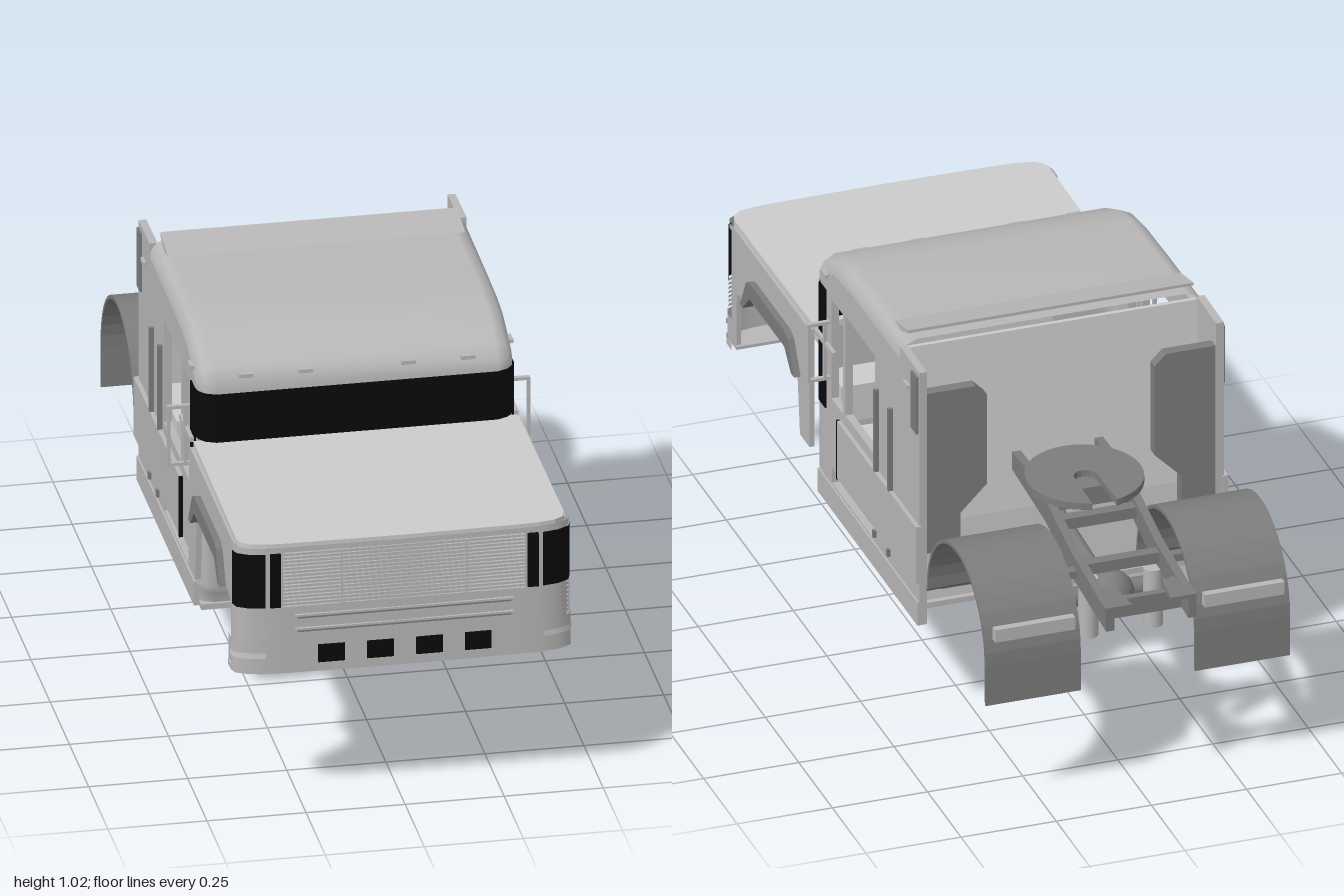
import * as THREE from 'three';

export function createModel() {
  const root = new THREE.Group();
  const material = (name, color) => {
    const m = new THREE.MeshStandardMaterial({ color, side: THREE.DoubleSide });
    m.name = name;
    return m;
  };
  const body = material('body grey', 0xb8b6b6);
  const light = material('light grey', 0xcbcbcb);
  const dark = material('chassis grey', 0x7c7c7c);
  const black = material('black', 0x0a0a0a);

  const add = (name, geometry, mat) => {
    const mesh = new THREE.Mesh(geometry, mat);
    mesh.name = name;
    root.add(mesh);
    return mesh;
  };
  const box = (name, w, h, d, x, y, z, mat) =>
    add(name, new THREE.BoxGeometry(w, h, d).translate(x, y, z), mat);
  const both = fn => [1, -1].forEach(fn);
  const toShape = (pts, holes = []) => {
    const shape = new THREE.Shape(pts.map(p => new THREE.Vector2(...p)));
    shape.holes = holes.map(h => new THREE.Path(h.map(p => new THREE.Vector2(...p))));
    return shape;
  };
  // Profile given as [z, y], extruded along x and centred on x
  const panel = (name, pts, x, width, mat, holes = []) => {
    const flip = list => list.map(([z, y]) => [-z, y]);
    const g = new THREE.ExtrudeGeometry(toShape(flip(pts), holes.map(flip)), { depth: width, bevelEnabled: false });
    return add(name, g.translate(0, 0, -width / 2).rotateY(Math.PI / 2).translate(x, 0, 0), mat);
  };
  // Plan given as [x, z], extruded upward from y
  const slab = (name, pts, y, height, mat, holes = []) => {
    const flip = list => list.map(([x, z]) => [x, -z]);
    const g = new THREE.ExtrudeGeometry(toShape(flip(pts), holes.map(flip)), { depth: height, bevelEnabled: false });
    return add(name, g.rotateX(-Math.PI / 2).translate(0, y, 0), mat);
  };
  const rect = (z0, z1, y0, y1) => [[z0, y0], [z1, y0], [z1, y1], [z0, y1]];
  // Grid of points, rows by columns, as a smooth surface
  const surface = rows => {
    const g = new THREE.BufferGeometry(), m = rows[0].length, index = [];
    g.setAttribute('position', new THREE.Float32BufferAttribute(rows.flat(2), 3));
    for (let i = 0; i < rows.length - 1; i++) {
      for (let j = 0; j < m - 1; j++) {
        const a = i * m + j;
        index.push(a, a + 1, a + m, a + 1, a + m + 1, a + m);
      }
    }
    g.setIndex(index);
    g.computeVertexNormals();
    return g;
  };

  // Cab front and roof: one swept shell with rounded side edges
  const path = [[0.35, 0.275], [0.355, 0.31], [0.38, 0.34], [0.38, 0.735], [0.38, 0.867], [0.378, 0.9],
    [0.35, 0.93], [0.24, 0.98], [0.16, 0.992], [0, 0.997], [-0.26, 1.0]];
  const half = [[0.4, 0.05], [0.396, 0.03], [0.382, 0.012], [0.355, 0]];
  const section = [...half.map(([x, d]) => [-x, d]), ...half.slice().reverse()];
  const cabRows = path.map(([z, y], i) => {
    const p = path[Math.max(i - 1, 0)], q = path[Math.min(i + 1, path.length - 1)];
    const dz = q[0] - p[0], dy = q[1] - p[1], l = Math.hypot(dz, dy);
    const straight = i >= 2 && i <= 4;
    const nz = straight ? 1 : dy / l, ny = straight ? 0 : -dz / l;
    return section.map(([x, d]) => [x, y - ny * d, z - nz * d]);
  });
  add('cabFrontLower', surface(cabRows.slice(0, 4)), body);
  add('windscreen', surface(cabRows.slice(3, 5)), black);
  add('cabRoof', surface(cabRows.slice(4)), body);
  box('cabFloor', 0.78, 0.015, 0.68, 0, 0.278, 0.02, body);
  panel('rearWall', [[-0.25, 0.98], [-0.262, 0.98], [-0.305, 0.5], [-0.305, 0.27], [-0.29, 0.27], [-0.29, 0.5]], 0, 0.76, light);
  panel('roofLip', [[-0.15, 1.0], [-0.25, 1.022], [-0.25, 1.014], [-0.2, 0.995]], 0, 0.75, body);
  box('dashboard', 0.74, 0.1, 0.1, 0, 0.55, 0.31, light);
  box('bench', 0.74, 0.2, 0.22, 0, 0.49, -0.17, light);
  box('interiorFloor', 0.76, 0.01, 0.6, 0, 0.445, 0.02, light);
  both(s => {
    panel('cabSide', [[0.33, 0.275], [0.33, 0.885], [0.31, 0.902], [0.225, 0.938], [0.1, 0.949], [-0.26, 0.953],
      [-0.26, 0.988], [-0.405, 0.985], [-0.405, 0.275]], s * 0.39, 0.02, body,
    [rect(0.25, 0.165, 0.58, 0.86), rect(0.145, -0.075, 0.585, 0.865), rect(0.245, -0.07, 0.345, 0.388)]);
    panel('sideGlass', rect(0.335, 0.285, 0.535, 0.867), s * 0.401, 0.006, black);
    panel('waistPanel', rect(0.178, -0.41, 0.395, 0.555), s * 0.403, 0.016, body);
    panel('doorGap', rect(0.184, 0.177, 0.39, 0.555), s * 0.407, 0.009, black);
    panel('sill', rect(0.34, -0.405, 0.275, 0.34), s * 0.398, 0.014, body);
    for (const z of [-0.1, -0.205]) {
      box('grabRail', 0.014, 0.23, 0.01, s * 0.405, 0.67, z, dark);
      box('lowerRail', 0.008, 0.02, 0.01, s * 0.411, 0.38, z, dark);
    }
    box('sideVent', 0.008, 0.16, 0.04, s * 0.402, 0.89, -0.378, dark);
    box('sideMarker', 0.012, 0.01, 0.035, s * 0.402, 0.911, 0.29, body);
    box('rearMarker', 0.012, 0.01, 0.035, s * 0.402, 0.911, -0.32, body);
    box('lowerSeam', 0.005, 0.1, 0.006, s * 0.3, 0.33, 0.378, black);
    for (const x of [0.13, 0.28]) box('roofMarker', 0.036, 0.01, 0.02, s * x, 0.911, 0.37, body);
    // Extender panels behind the cab
    const ext = new THREE.ExtrudeGeometry(toShape([[0.385, 0.92], [0.25, 0.92], [0.22, 0.89], [0.22, 0.64],
      [0.29, 0.57], [0.29, 0.47], [0.385, 0.47]].map(([x, y]) => [s * x, y])), { depth: 0.03, bevelEnabled: false });
    add('rearExtender', ext.translate(0, 0, -0.4), dark);
    box('rearBox', 0.09, 0.09, 0.07, s * 0.29, 0.4, -0.35, dark);
    // Mirror frames
    for (const y of [0.632, 0.788]) box('mirrorArm', 0.065, 0.008, 0.012, s * 0.425, y, 0.265, body);
    for (const x of [0.412, 0.454]) box('mirrorPost', 0.008, 0.16, 0.012, s * x, 0.71, 0.265, body);
    box('mirrorBracket', 0.01, 0.012, 0.14, s * 0.41, 0.73, 0.27, body);
  });

  // Bonnet nose: plan curve wrapped round the front corners
  const side = [[0.42, 0.9], [0.42, 0.935], [0.413, 0.958], [0.39, 0.975], [0.35, 0.983], [0.3, 0.986]];
  const nose = [...side.map(([x, z]) => [-x, z]), [0, 0.99], ...side.slice().reverse()];
  const ribbon = (name, plan, y0, y1, offset, mat) => add(name, surface([y0, y1].map(y =>
    plan.map(([x, z]) => [x + Math.sign(x) * offset * (Math.abs(x) > 0.4 ? 1 : 0), y, z + offset]))), mat);
  ribbon('noseShell', nose, 0.39, 0.72, 0, body);
  ribbon('bumper', nose, 0.4, 0.47, 0.008, body);
  ribbon('bumperLip', nose, 0.385, 0.402, 0.01, body);
  slab('noseUnderside', nose, 0.388, 0.008, body);
  slab('bonnetTop', [[-0.41, 0.36], ...nose.map(([x, z]) => [x * 0.985, z]), [0.41, 0.36]], 0.718, 0.017, light);
  ribbon('bonnetRim', nose, 0.712, 0.726, 0.004, body);
  for (let i = 0; i < 16; i++) box('grilleSlat', 0.61, 0.005, 0.012, 0, 0.562 + i * 0.0097, 0.987, body);
  for (const y of [0.498, 0.535]) {
    box('noseSlot', 0.55, 0.01, 0.008, 0, y, 0.99, body);
    box('noseSlotShade', 0.54, 0.004, 0.009, 0, y - 0.002, 0.991, dark);
  }
  both(s => {
    const wrap = side.slice(1, 5).map(([x, z]) => [s * x, z]);
    if (s < 0) wrap.reverse();
    wrap.sort((a, b) => a[0] - b[0]);
    ribbon('headlight', wrap, 0.563, 0.71, 0.006, black);
    box('innerLamp', 0.027, 0.145, 0.008, s * 0.325, 0.637, 0.99, black);
    box('grilleDivider', 0.004, 0.15, 0.014, s * 0.158, 0.635, 0.988, body);
    for (let i = 0; i < 7; i++) ribbon('cornerRib', wrap, 0.478 + i * 0.012, 0.484 + i * 0.012, 0.006, body);
    ribbon('indicator', wrap, 0.427, 0.442, 0.011, light);
    for (const x of [0.062, 0.185]) box('fogLamp', 0.067, 0.047, 0.008, s * x, 0.433, 0.997, black);

    // Bonnet side with wheel arch
    const arch = [[0.43, 0.39], [0.45, 0.56], [0.5, 0.605], [0.76, 0.605], [0.82, 0.56], [0.9, 0.545], [0.91, 0.39]];
    panel('bonnetSide', [[0.93, 0.39], [0.93, 0.72], [0.36, 0.72], [0.36, 0.39], ...arch, [0.93, 0.39]].slice(0, -1),
      s * 0.412, 0.014, body);
    panel('archFlare', [[0.83, 0.555], [0.785, 0.64], [0.76, 0.65], [0.5, 0.65], [0.475, 0.64], [0.425, 0.555],
      [0.45, 0.555], [0.5, 0.605], [0.76, 0.605], [0.81, 0.555]], s * 0.422, 0.028, dark);
  });
  box('bonnetCore', 0.44, 0.32, 0.56, 0, 0.55, 0.64, light);

  // Centre wheel and its plate under the cab
  const tyre = [[0.06, -0.05], [0.1, -0.09], [0.115, -0.11], [0.14, -0.118], [0.16, -0.108], [0.17, -0.085],
    [0.17, 0.085], [0.16, 0.108], [0.14, 0.118], [0.115, 0.11], [0.1, 0.09], [0.06, 0.05]];
  add('centreWheel', new THREE.LatheGeometry(tyre.map(p => new THREE.Vector2(...p)), 40)
    .rotateZ(Math.PI / 2).translate(0, 0.265, 0), light);
  add('wheelHub', new THREE.CylinderGeometry(0.07, 0.07, 0.1, 24).rotateZ(Math.PI / 2).translate(0, 0.265, 0), light);
  panel('centrePlate', rect(0, -0.32, 0, 0.275), 0, 0.03, light);
  panel('plateRib', [[-0.1, 0.2], [-0.1, 0.09], [-0.16, 0.03], [-0.32, 0.03], [-0.32, 0.045], [-0.165, 0.045],
    [-0.115, 0.095], [-0.115, 0.2]], 0, 0.056, light);
  for (const y of [0.18, 0.21]) box('plateBar', 0.05, 0.01, 0.2, 0, y, -0.22, light);

  // Rear chassis
  both(s => {
    panel('frameRail', [[-0.3, 0.66], [-0.42, 0.665], [-0.55, 0.65], [-0.75, 0.6], [-1, 0.57], [-1, 0.51],
      [-0.75, 0.535], [-0.55, 0.59], [-0.3, 0.61]], s * 0.108, 0.022, dark);
    slab('tailPlate', [[s * 0.12, -1], [s * 0.05, -1], [s * 0.06, -0.91], [s * 0.12, -0.88]], 0.565, 0.01, dark);
    // Mudguard: an arc with a flap hanging at the back
    const arc = r => Array.from({ length: 21 }, (_, i) => {
      const a = Math.PI * i / 20;
      return [-0.68 + r * Math.cos(a), 0.41 + r * Math.sin(a)];
    });
    panel('mudguard', [[-0.46, 0.4], ...arc(0.22), [-0.9, 0.3], [-0.893, 0.3], ...arc(0.211).reverse()], s * 0.275, 0.25, dark);
    box('tailLamp', 0.21, 0.035, 0.02, s * 0.275, 0.5, -0.905, body);
    box('mudguardBracket', 0.07, 0.02, 0.025, s * 0.14, 0.56, -0.77, dark);
    add('airSpring', new THREE.CylinderGeometry(0.025, 0.025, 0.16, 20).translate(s * 0.085, 0.46, -0.77), body);
  });
  for (const z of [-0.45, -0.6, -0.77]) box('crossMember', 0.21, 0.03, 0.03, 0, z < -0.7 ? 0.57 : 0.61, z, dark);
  box('tailBeam', 0.23, 0.05, 0.02, 0, 0.54, -0.94, dark);

  // Coupling plate with a keyhole slot open to the rear
  const plate = [];
  for (let i = 0; i <= 36; i++) {
    const a = -Math.PI / 2 + 0.22 + (Math.PI * 2 - 0.44) * i / 36;
    plate.push([0.148 * Math.cos(a), -0.5 + 0.155 * Math.sin(a)]);
  }
  for (let i = 0; i <= 8; i++) {
    const a = Math.PI * (1 - i / 8);
    plate.push([0.03 * Math.cos(a), -0.51 + 0.03 * Math.sin(a)]);
  }
  slab('couplingPlate', plate, 0.66, 0.018, dark);
  box('couplingBase', 0.18, 0.05, 0.14, 0, 0.635, -0.47, dark);

  // Drive shaft and axle housing
  const shaft = new THREE.LineCurve3(new THREE.Vector3(0, 0.47, -0.3), new THREE.Vector3(0, 0.44, -0.68));
  add('driveShaft', new THREE.TubeGeometry(shaft, 1, 0.018, 14), dark);
  add('axleHousing', new THREE.SphereGeometry(0.062, 24, 16).translate(0, 0.44, -0.69), dark);
  add('axle', new THREE.CylinderGeometry(0.025, 0.025, 0.28, 16).rotateZ(Math.PI / 2).translate(0, 0.44, -0.68), dark);
  return root;
}
